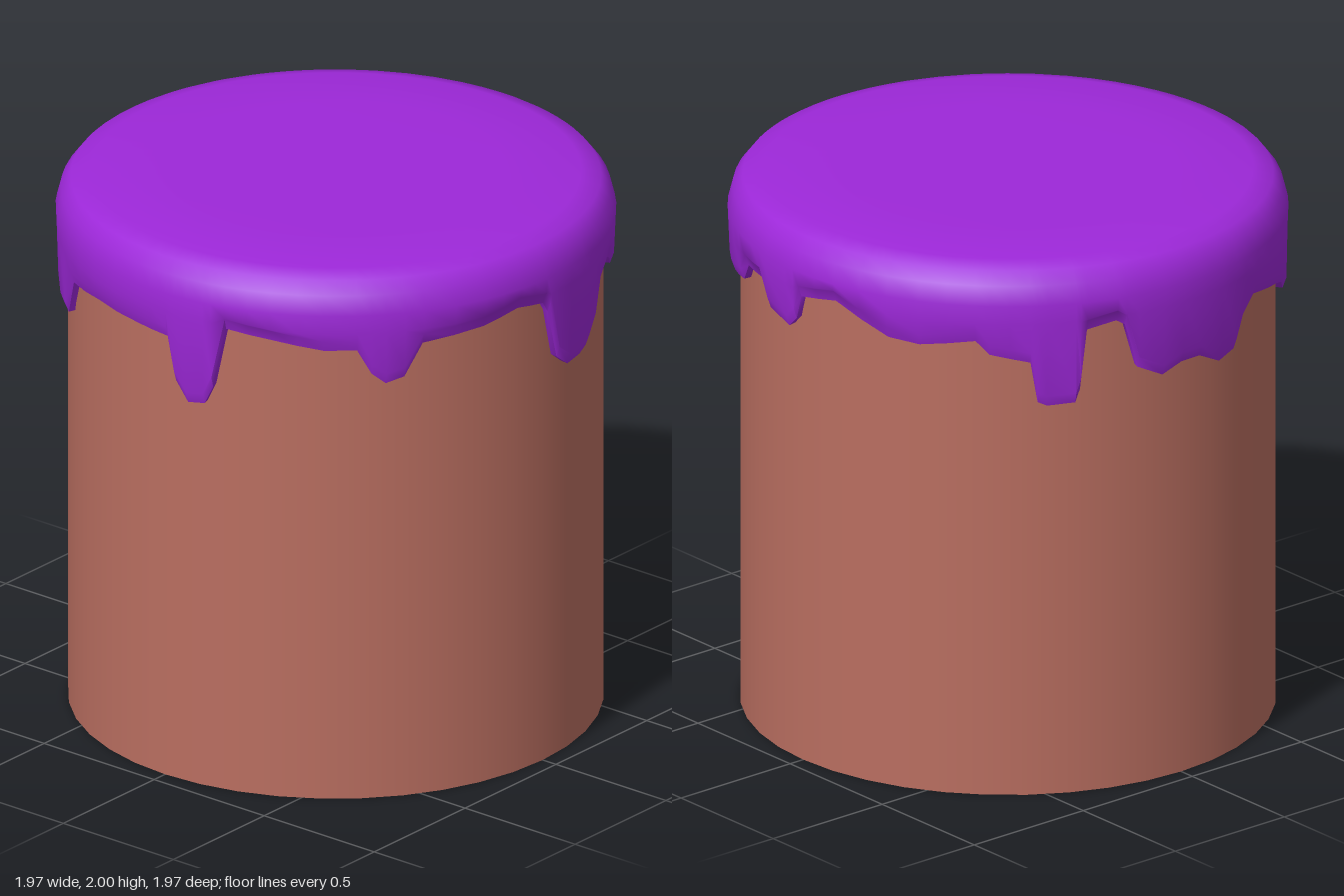
import * as THREE from 'three';
import { toCreasedNormals } from 'three/addons/utils/BufferGeometryUtils.js';

// Lower rim of the icing: [angle in degrees from the front towards +x, height]
const RIM = [
  [0, 1.72], [3, 1.53], [7, 1.48], [12, 1.485], [15, 1.5], [18.5, 1.56], [21.5, 1.68], [29, 1.74],
  [34, 1.7], [36, 1.665], [46, 1.65], [56, 1.65], [66, 1.68], [69, 1.75], [77, 1.75],
  [80, 1.66], [87, 1.63], [89.5, 1.67], [91, 1.76], [101, 1.79], [114, 1.7], [121, 1.69],
  [133, 1.72], [136, 1.67], [144.5, 1.64], [146, 1.49], [148, 1.475], [154, 1.48], [155, 1.53],
  [156.5, 1.75], [163, 1.77], [165, 1.75], [168, 1.58], [174, 1.53], [179, 1.56], [184, 1.56],
  [190, 1.51], [195, 1.53], [198, 1.63], [203, 1.69], [209, 1.67], [217, 1.64], [224, 1.6],
  [228, 1.55], [233, 1.55], [237, 1.69], [250, 1.71], [264, 1.7], [272, 1.69], [274, 1.53],
  [277, 1.46], [281, 1.47], [283, 1.54], [286, 1.77], [296, 1.75], [307, 1.72], [314, 1.72],
  [317, 1.63], [320, 1.59], [324, 1.61], [328, 1.73], [342, 1.75], [351, 1.78], [358.5, 1.76],
];

// Rim columns with wide gaps filled in
function rimColumns(maxStep) {
  const out = [];
  RIM.forEach(([a, y], i) => {
    const last = i === RIM.length - 1;
    const [b, y2] = last ? [360, RIM[0][1]] : RIM[i + 1];
    const n = Math.ceil((b - a) / maxStep);
    for (let k = 0; k < n; k++) out.push([a + (b - a) * k / n, y + (y2 - y) * k / n]);
  });
  return out;
}

// Cross-section of the icing from the centre of the top to the tucked-in lower lip
const section = (y) => [
  [0, 2], [0.6, 1.998], [0.86, 1.993], [0.93, 1.975], [0.965, 1.93], [0.983, 1.86],
  [0.98, Math.max(1.79, y + 0.045)], [0.976, y + 0.04], [0.962, y], [0.93, y + 0.005],
];

function icingGeometry() {
  const cols = rimColumns(7);
  const pos = [], index = [], rows = section(1.7).length;
  for (const [deg, y] of cols) {
    const a = THREE.MathUtils.degToRad(deg);
    for (const [r, h] of section(y)) pos.push(r * Math.sin(a), h, r * Math.cos(a));
  }
  cols.forEach((_, i) => {
    const p = i * rows, q = ((i + 1) % cols.length) * rows;
    for (let j = 0; j < rows - 1; j++) {
      index.push(p + j, p + j + 1, q + j + 1);
      if (j > 0) index.push(p + j, q + j + 1, q + j);
    }
  });
  const g = new THREE.BufferGeometry();
  g.setAttribute('position', new THREE.Float32BufferAttribute(pos, 3));
  g.setIndex(index);
  return toCreasedNormals(g, 0.8);
}

export function createModel() {
  const group = new THREE.Group();
  const add = (name, geometry, color) => {
    const mesh = new THREE.Mesh(geometry, new THREE.MeshStandardMaterial({ color }));
    mesh.name = name;
    group.add(mesh);
    return mesh;
  };

  // Round sponge, its top hidden under the icing
  add('sponge', new THREE.CylinderGeometry(0.94, 0.94, 1.9, 40), 0xb96e60).position.y = 0.95;

  // Icing cap with drips
  add('icing', icingGeometry(), 0x9d28d9).material.side = THREE.DoubleSide;

  return group;
}
